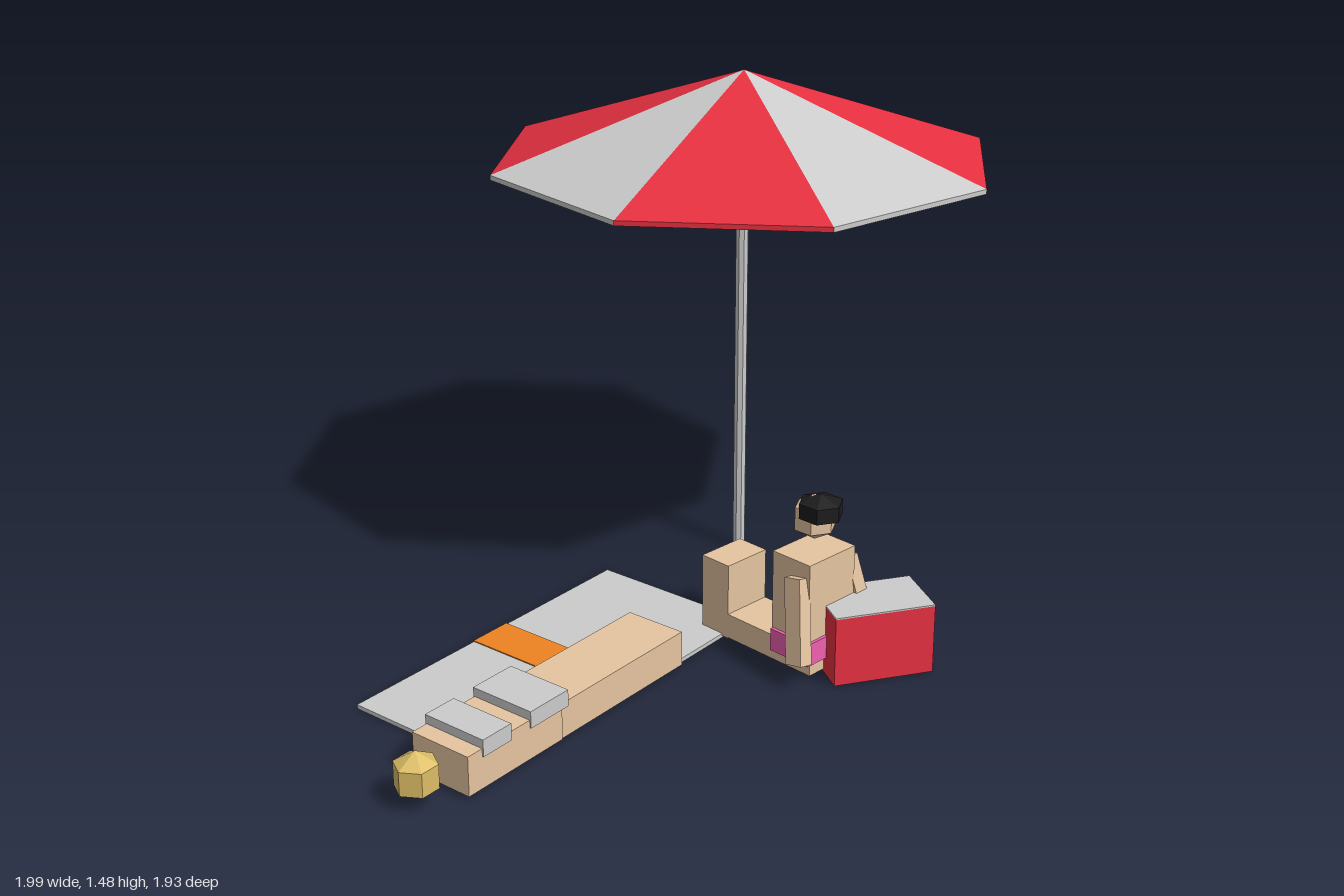
import * as THREE from 'three';

const mat = (color, extra = {}) =>
  new THREE.MeshStandardMaterial({ color, flatShading: true, ...extra });
const grey = mat(0xcccccc), red = mat(0xe63040), skin = mat(0xe5c4a0), orange = mat(0xee8322);
const pink = mat(0xf060b0), black = mat(0x1c1c1c), gold = mat(0xdcbd66);

function add(parent, name, geometry, material, x, y, z) {
  const mesh = new THREE.Mesh(geometry, material);
  mesh.name = name;
  mesh.position.set(x, y, z);
  parent.add(mesh);
  return mesh;
}

// Box given by its lower and upper limits on each axis
function block(parent, name, material, [x0, x1], [y0, y1], [z0, z1]) {
  return add(parent, name, new THREE.BoxGeometry(x1 - x0, y1 - y0, z1 - z0), material,
    (x0 + x1) / 2, (y0 + y1) / 2, (z0 + z1) / 2);
}

function group(parent, name, x, z, turn = 0) {
  const g = new THREE.Group();
  g.name = name;
  g.position.set(x, 0, z);
  g.rotation.y = turn;
  parent.add(g);
  return g;
}

// One canopy panel: a sloping triangle with a narrow hanging hem
function panelGeometry(a0, a1, r, rim, top, hem) {
  const p = (a, y) => [r * Math.cos(a), y, r * Math.sin(a)];
  const v = [
    [0, top, 0], p(a1, rim), p(a0, rim),
    p(a0, rim), p(a1, rim), p(a1, rim - hem),
    p(a0, rim), p(a1, rim - hem), p(a0, rim - hem),
  ];
  const g = new THREE.BufferGeometry();
  g.setAttribute('position', new THREE.Float32BufferAttribute(v.flat(), 3));
  g.computeVertexNormals();
  return g;
}

export function createModel() {
  const model = new THREE.Group();
  model.name = 'beachScene';

  // Parasol
  const parasol = group(model, 'parasol', 0.26, -0.225);
  add(parasol, 'pole', new THREE.CylinderGeometry(0.019, 0.019, 1.39, 8), grey, 0, 0.695, 0);
  const panelMats = [mat(0xe63040, { side: THREE.DoubleSide }), mat(0xcccccc, { side: THREE.DoubleSide })];
  const step = Math.PI / 4;
  for (let i = 0; i < 8; i++) {
    add(parasol, 'canopyPanel', panelGeometry(i * step, (i + 1) * step, 0.735, 1.23, 1.48, 0.014),
      panelMats[i % 2], 0, 0, 0);
  }

  // Towel with a central stripe
  const towel = group(model, 'towelAndSunbather', -0.44, 0.34, THREE.MathUtils.degToRad(35));
  block(towel, 'towel', grey, [-0.505, 0.505], [0, 0.012], [-0.255, 0.255]);
  block(towel, 'towelStripe', orange, [-0.066, 0.066], [0.001, 0.015], [-0.256, 0.256]);

  // Person lying on the towel
  block(towel, 'lyingTorso', skin, [-0.64, -0.3], [0.012, 0.122], [0.092, 0.28]);
  block(towel, 'lyingLegs', skin, [-0.3, 0.19], [0.012, 0.112], [0.095, 0.277]);
  block(towel, 'swimTop', grey, [-0.59, -0.49], [0.1, 0.147], [0.088, 0.284]);
  block(towel, 'swimBottom', grey, [-0.42, -0.28], [0.1, 0.147], [0.088, 0.284]);
  const headGeometry = new THREE.SphereGeometry(0.066, 6, 3);
  add(towel, 'lyingHead', headGeometry, gold, -0.724, 0.08, 0.188);

  // Person sitting, facing the back
  const sitter = group(model, 'sitter', 0.225, 0.52, 0.49);
  block(sitter, 'sittingTorso', skin, [-0.09, 0.09], [0.06, 0.342], [-0.066, 0.066]);
  block(sitter, 'swimsuit', pink, [-0.1, 0.1], [0.05, 0.115], [-0.062, 0.075]);
  block(sitter, 'thighs', skin, [-0.075, 0.075], [0.008, 0.08], [-0.25, 0.06]);
  block(sitter, 'raisedFeet', skin, [-0.075, 0.075], [0.005, 0.228], [-0.345, -0.245]);
  for (const side of [-1, 1]) {
    const arm = add(sitter, 'arm', new THREE.BoxGeometry(0.042, 0.235, 0.055), skin, side * 0.115, 0.185, 0.05);
    arm.rotation.set(-0.2, 0, side * 0.17);
  }
  const head = add(model, 'sittingHead', headGeometry, skin, 0.225, 0.436, 0.52);
  head.scale.set(1, 1, 0.95);
  const hair = add(model, 'hair', new THREE.SphereGeometry(0.071, 6, 3), black, 0.235, 0.463, 0.535);
  hair.scale.y = 0.6;

  // Cooler with a pale lid
  block(model, 'coolerBody', red, [0.237, 0.52], [0, 0.197], [0.483, 0.665]);
  block(model, 'coolerLid', grey, [0.237, 0.52], [0.197, 0.201], [0.483, 0.665]);

  return model;
}
